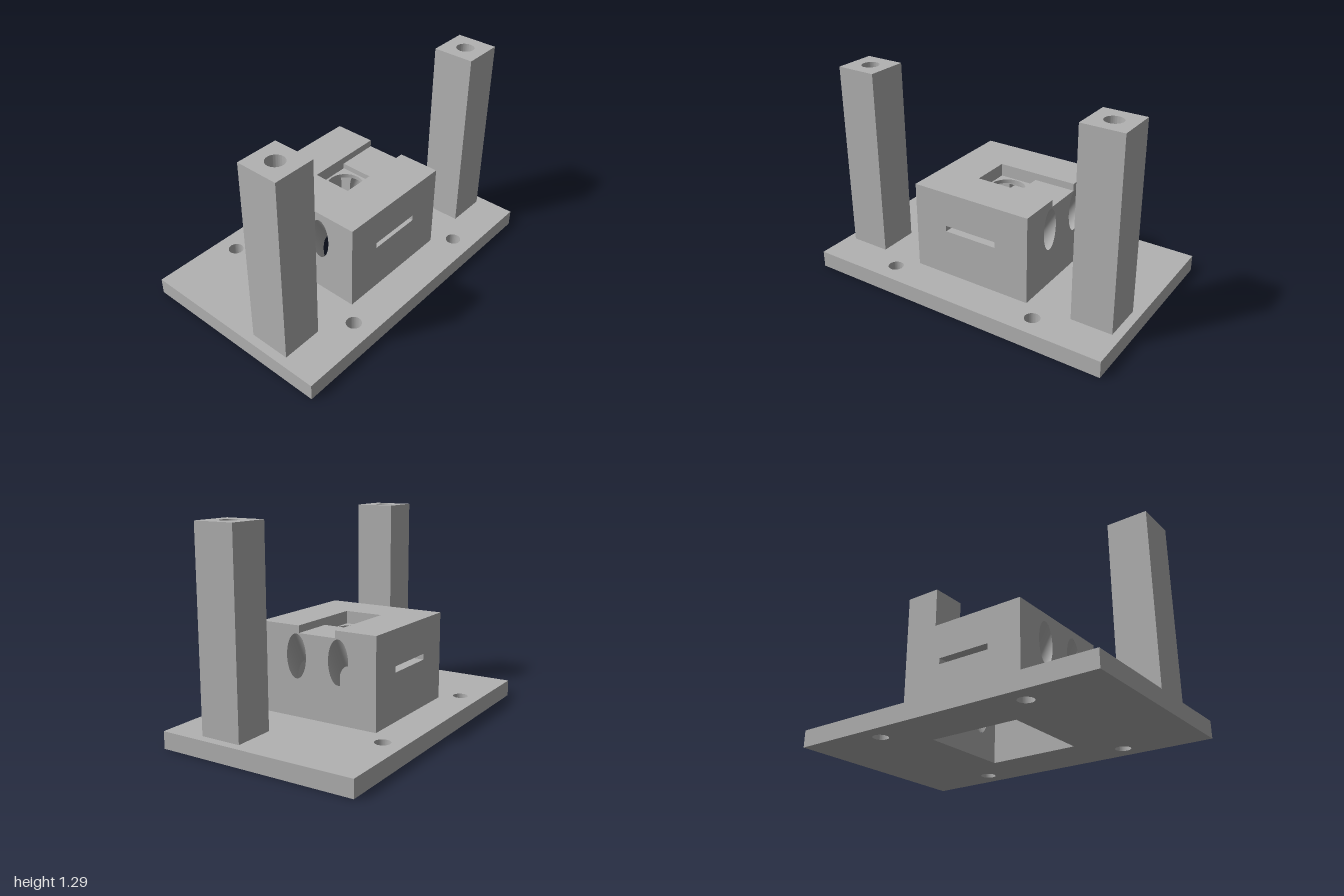
import * as THREE from 'three';
import { toCreasedNormals } from 'three/addons/utils/BufferGeometryUtils.js';

const grey = new THREE.MeshStandardMaterial({ color: 0xb2b2b2 });
grey.name = 'plain grey';

// Main dimensions
const PLATE_TOP = 0.105, BLOCK_TOP = 0.66, NOTCH_FLOOR = 0.615, POCKET_FLOOR = 0.58, CAVITY_TOP = 0.555;
const OUT = 0.395, INN = 0.29, WALL = OUT - INN;
const POST_TOP = 1.29, POST_HOLE_DEPTH = 0.45;
const BORE = { x: 0.145, y: 0.475, rx: 0.068, ry: 0.135, drop: 0.18 };

function outline(points, Type = THREE.Shape) {
  return new Type(points.map(([x, y]) => new THREE.Vector2(x, y)));
}

function rect(x0, y0, x1, y1, Type) {
  return outline([[x0, y0], [x1, y0], [x1, y1], [x0, y1]], Type);
}

function ellipse(x, y, rx, ry = rx) {
  return new THREE.Path().absellipse(x, y, rx, ry, 0, Math.PI * 2, true);
}

function extrude(shape, depth) {
  const g = new THREE.ExtrudeGeometry(shape, { depth, bevelEnabled: false, curveSegments: 48 });
  return toCreasedNormals(g, Math.PI / 6);
}

// Horizontal slab between two heights; the shape's y is -z
function slab(shape, y0, y1) {
  return extrude(shape, y1 - y0).rotateX(-Math.PI / 2).translate(0, y0, 0);
}

function add(parent, name, geometry) {
  const mesh = new THREE.Mesh(geometry, grey);
  mesh.name = name;
  parent.add(mesh);
  return mesh;
}

// Wall with two round bores that slope steeply down into the cavity
function boredWall(name) {
  const wall = new THREE.Group();
  wall.name = name;
  const face = (halfWidth, top, boreY) => {
    const s = rect(-halfWidth, PLATE_TOP, halfWidth, top);
    for (const side of [-1, 1]) s.holes.push(ellipse(side * BORE.x, boreY, BORE.rx, BORE.ry));
    return new THREE.ShapeGeometry(s, 48);
  };
  add(wall, 'outerFace', face(INN, NOTCH_FLOOR, BORE.y).translate(0, 0, OUT));
  add(wall, 'innerFace', face(INN, CAVITY_TOP, BORE.y - BORE.drop).rotateY(Math.PI).translate(0, 0, INN));
  for (const side of [-1, 1]) {
    const g = new THREE.CylinderGeometry(1, 1, 1, 48, 1, true).rotateX(Math.PI / 2);
    // The negative scale turns the surface inward
    g.scale(-BORE.rx, BORE.ry, WALL);
    const p = g.attributes.position;
    for (let i = 0; i < p.count; i++) p.setY(i, p.getY(i) + (p.getZ(i) / WALL) * BORE.drop);
    g.computeVertexNormals();
    g.translate(side * BORE.x, BORE.y - BORE.drop / 2, OUT - WALL / 2);
    add(wall, 'slopingBore', g);
  }
  return wall;
}

export function createModel() {
  const model = new THREE.Group();
  model.name = 'mountingBracket';

  // Base plate with four screw holes and a square opening
  const plate = rect(-0.63, -1, 0.63, 1);
  for (const x of [-0.5, 0.5]) for (const z of [-0.5, 0.5]) plate.holes.push(ellipse(x, z, 0.047));
  plate.holes.push(rect(-INN, -INN, INN, INN, THREE.Path));
  add(model, 'basePlate', slab(plate, 0, PLATE_TOP));

  const block = new THREE.Group();
  block.name = 'hollowBlock';
  model.add(block);

  // Side walls with a thin horizontal slot
  for (const side of [-1, 1]) {
    const s = rect(-OUT, PLATE_TOP, OUT, NOTCH_FLOOR);
    s.holes.push(rect(-0.175, 0.403, 0.175, 0.44, THREE.Path));
    const g = extrude(s, WALL).rotateY(Math.PI / 2).translate(side > 0 ? INN : -OUT, 0, 0);
    add(block, 'sideWall', g);
  }

  // Front and back walls
  block.add(boredWall('frontWall'));
  const back = boredWall('backWall');
  back.rotation.y = Math.PI;
  block.add(back);

  // Roof: round opening, square pocket, then the notch running out at the back
  const roof = rect(-INN, -INN, INN, INN);
  roof.holes.push(ellipse(0, 0, 0.113));
  add(block, 'roofWithRoundHole', slab(roof, CAVITY_TOP, POCKET_FLOOR));
  const pocket = rect(-INN, -INN, INN, INN);
  pocket.holes.push(rect(-0.125, -0.122, 0.125, 0.127, THREE.Path));
  add(block, 'roofWithPocket', slab(pocket, POCKET_FLOOR, NOTCH_FLOOR));
  const notched = outline([
    [-OUT, -OUT], [OUT, -OUT], [OUT, OUT], [0.125, OUT],
    [0.125, -0.122], [-0.125, -0.122], [-0.125, OUT], [-OUT, OUT],
  ]);
  add(block, 'notchedTop', slab(notched, NOTCH_FLOOR, BLOCK_TOP));
  const floor = new THREE.PlaneGeometry(0.25, WALL).rotateX(-Math.PI / 2);
  add(block, 'notchFloor', floor.translate(0, NOTCH_FLOOR, -(OUT + INN) / 2));

  // Two square posts with blind holes in their tops
  for (const side of [-1, 1]) {
    const post = new THREE.Group();
    post.name = side > 0 ? 'frontPost' : 'backPost';
    post.position.set(0.26, 0, side * 0.815);
    const split = POST_TOP - POST_HOLE_DEPTH;
    const solid = rect(-0.13, -0.13, 0.13, 0.13);
    const drilled = rect(-0.13, -0.13, 0.13, 0.13);
    drilled.holes.push(ellipse(0, 0, 0.055));
    add(post, 'solidShaft', slab(solid, PLATE_TOP, split));
    add(post, 'drilledShaft', slab(drilled, split, POST_TOP));
    model.add(post);
  }

  return model;
}
